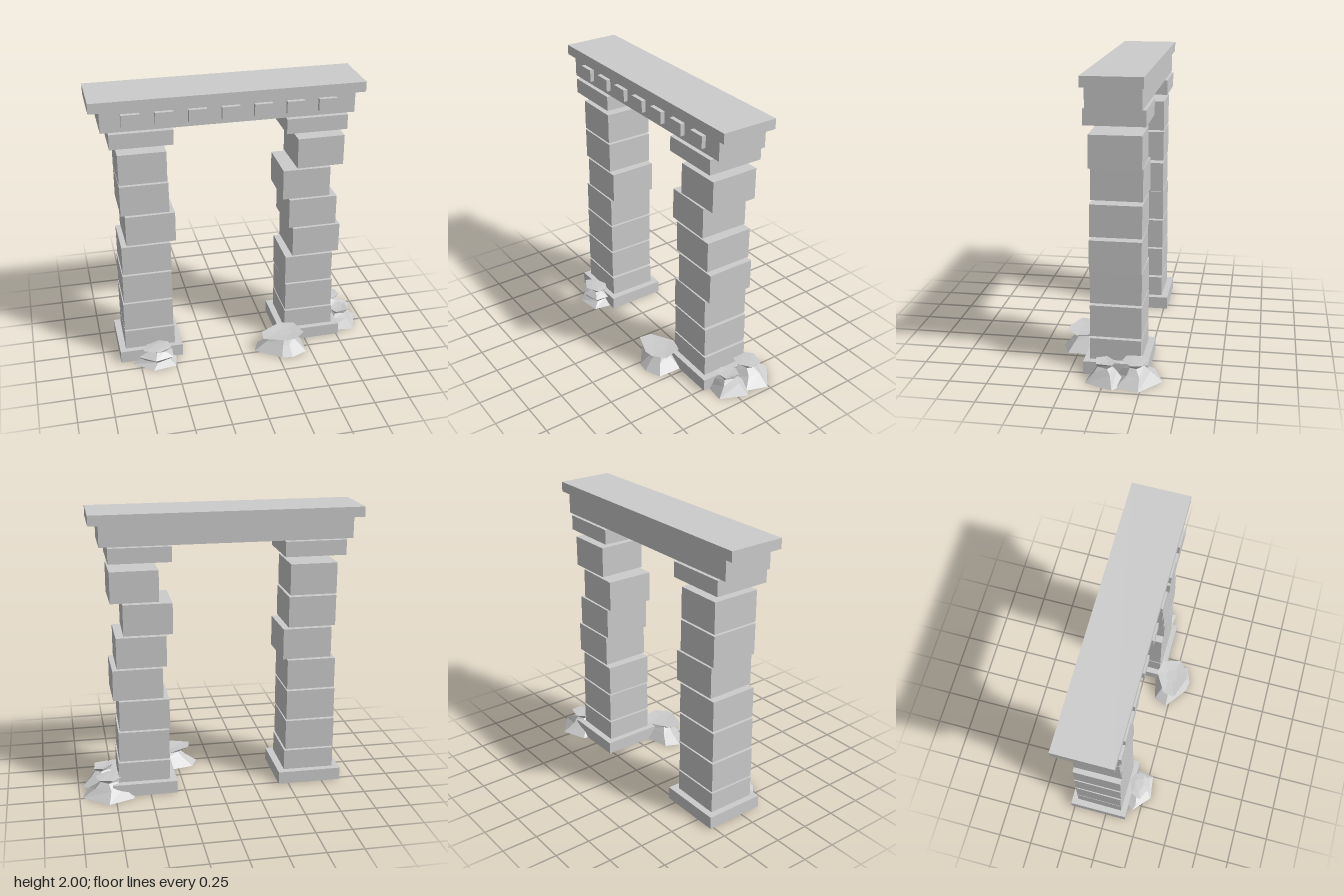
import * as THREE from 'three';

const stone = new THREE.MeshStandardMaterial({ color: 0xcccccc, flatShading: true });

// Box given by its extents on each axis
function slab(name, [x0, x1], [y0, y1], [z0, z1], turn = 0) {
  const mesh = new THREE.Mesh(new THREE.BoxGeometry(x1 - x0, y1 - y0, z1 - z0), stone);
  mesh.position.set((x0 + x1) / 2, (y0 + y1) / 2, (z0 + z1) / 2);
  mesh.rotation.y = turn;
  mesh.name = name;
  return mesh;
}

// Jagged rock: an [x, z] outline repeated as rings of [y, scale, twist], capped at both ends
function rock(name, cx, cz, outline, rings) {
  const n = outline.length, pos = [], index = [];
  for (const [y, s, twist] of rings) {
    for (const [x, z] of outline) {
      const dx = (x - cx) * s, dz = (z - cz) * s;
      pos.push(cx + dx * Math.cos(twist) + dz * Math.sin(twist), y,
        cz - dx * Math.sin(twist) + dz * Math.cos(twist));
    }
  }
  for (let r = 0; r < rings.length - 1; r++) {
    for (let i = 0; i < n; i++) {
      const a = r * n + i, b = r * n + (i + 1) % n;
      index.push(a, b, b + n, a, b + n, a + n);
    }
  }
  const top = (rings.length - 1) * n, lo = pos.length / 3;
  pos.push(cx, rings[0][0], cz, cx, rings[rings.length - 1][0], cz);
  for (let i = 0; i < n; i++) {
    const j = (i + 1) % n;
    index.push(lo, j, i, lo + 1, top + i, top + j);
  }
  const geo = new THREE.BufferGeometry();
  geo.setAttribute('position', new THREE.Float32BufferAttribute(pos, 3));
  geo.setIndex(index);
  const flat = geo.toNonIndexed();
  flat.computeVertexNormals();
  const mesh = new THREE.Mesh(flat, stone);
  mesh.name = name;
  return mesh;
}

// Column: base, shifted blocks given as [x0, x1, turn], and capital
function column(name, base, blocks, capital) {
  const group = new THREE.Group();
  group.name = name;
  group.add(slab('columnBase', base, [0, 0.09], [-0.275, 0.155]));
  blocks.forEach(([x0, x1, turn], i) => {
    const y = 0.02 + i * 0.23;
    group.add(slab('columnBlock', [x0, x1], [y, y + 0.217], [-0.228, 0.115], turn));
  });
  group.add(slab('capital', capital, [1.675, 1.78], [-0.255, 0.145]));
  return group;
}

export function createModel() {
  const model = new THREE.Group();
  model.name = 'ruinedGateway';

  model.add(column('rightColumn', [-0.885, -0.43], [
    [-0.84, -0.48, -0.01], [-0.84, -0.487, -0.01], [-0.835, -0.487, 0], [-0.83, -0.487, 0],
    [-0.795, -0.45, 0.012], [-0.82, -0.487, 0], [-0.82, -0.493, 0],
  ], [-0.87, -0.447]));
  model.add(column('leftColumn', [0.31, 0.765], [
    [0.355, 0.717, -0.01], [0.355, 0.71, -0.01], [0.35, 0.70, -0.01], [0.395, 0.742, 0.01],
    [0.365, 0.71, 0], [0.318, 0.655, -0.012], [0.412, 0.742, 0.012],
  ], [0.323, 0.747]));

  // Lintel, cornice and row of small blocks
  model.add(slab('lintel', [-0.92, 0.80], [1.785, 1.93], [-0.238, 0.12]));
  model.add(slab('cornice', [-0.99, 0.867], [1.93, 2.0], [-0.255, 0.14]));
  for (let i = 0; i < 7; i++) {
    const x = -0.785 + i * 0.221;
    model.add(slab('dentil', [x, x + 0.123], [1.823, 1.907], [0.11, 0.15]));
  }

  // Rubble round the column feet
  const rubble = new THREE.Group();
  rubble.name = 'rubble';
  rubble.add(rock('rightRubble', -0.61, 0.2, [
    [-0.8, 0.19], [-0.67, 0.305], [-0.5, 0.28], [-0.48, 0.16], [-0.56, 0.09], [-0.72, 0.1],
  ], [[0, 1, 0], [0.035, 0.55, 0.2], [0.065, 0.8, 0.1], [0.1, 0.35, 0], [0.13, 0.65, 0.3], [0.135, 0.3, 0.2]]));
  rubble.add(rock('middleRubble', 0.32, 0.22, [
    [0.095, 0.23], [0.27, 0.36], [0.35, 0.37], [0.465, 0.32], [0.47, 0.15], [0.36, 0.08], [0.14, 0.13],
  ], [[0, 1, 0], [0.065, 0.6, 0], [0.1, 0.42, 0.1], [0.132, 0.82, 0.3], [0.125, 0.3, 0.2]]));
  rubble.add(rock('backLeftRubble', 0.79, -0.2, [
    [0.62, -0.31], [0.6, -0.14], [0.72, -0.04], [0.93, -0.09], [0.98, -0.24], [0.8, -0.38],
  ], [[0, 1, 0], [0.06, 0.55, 0.15], [0.1, 0.3, 0], [0.132, 0.5, 0.4], [0.135, 0.2, 0.2]]));
  rubble.add(rock('leftRubble', 0.82, 0.0, [
    [0.68, -0.05], [0.7, 0.1], [0.895, 0.12], [0.975, -0.07], [0.86, -0.15],
  ], [[0, 1, 0], [0.07, 0.55, 0.1], [0.1, 0.35, 0], [0.13, 0.5, 0.3], [0.125, 0.2, 0.2]]));
  model.add(rubble);

  return model;
}
